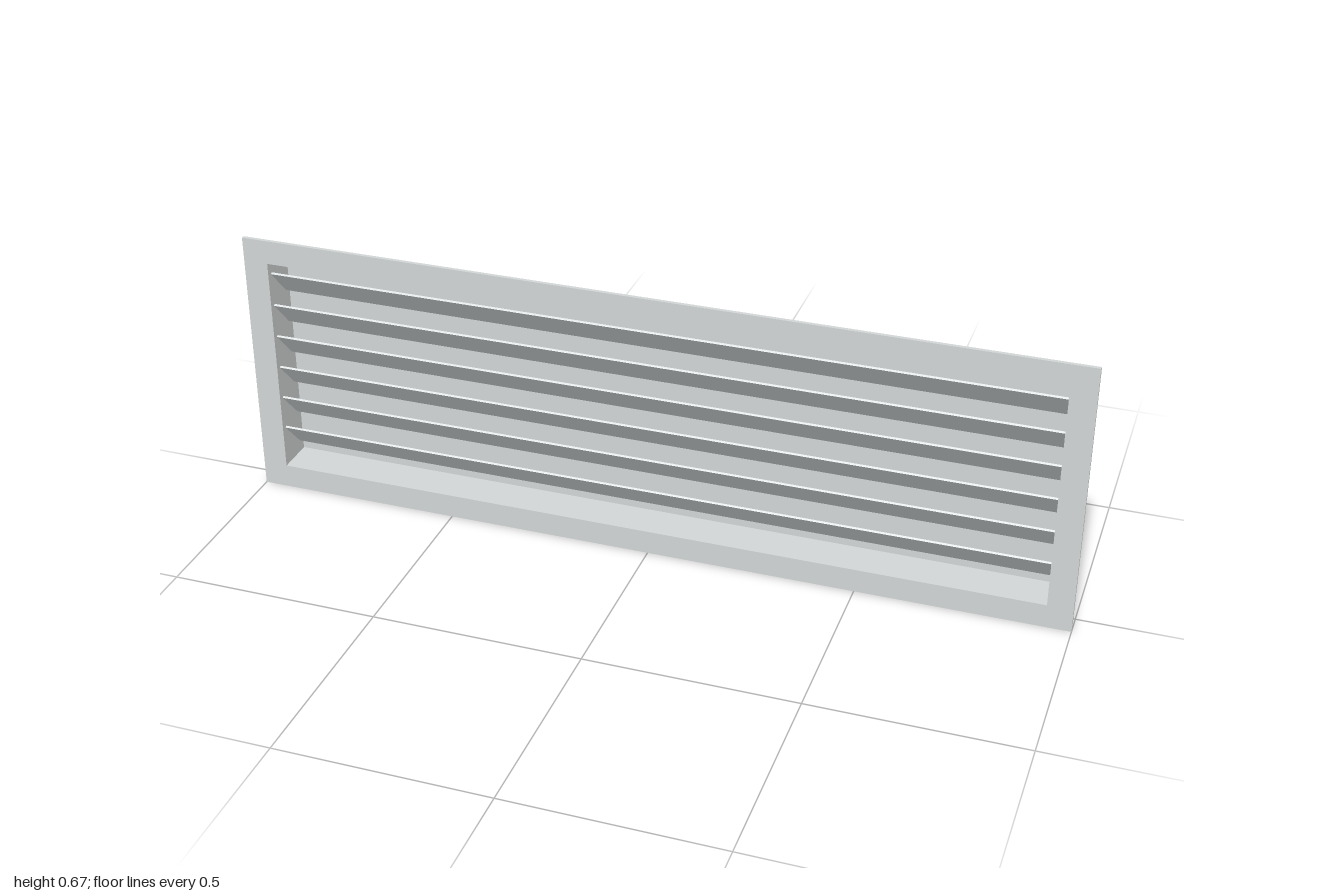
import * as THREE from 'three';

export function createModel() {
  const group = new THREE.Group();
  const metalMat = new THREE.MeshStandardMaterial({ color: 0xd1d5d5 });
  metalMat.name = 'light grey metal';
  const panelMat = new THREE.MeshStandardMaterial({ color: 0x333333 });
  panelMat.name = 'dark backing';

  const H = 0.667, midY = H / 2;
  const innerW = 1.88, innerH = 0.55;     // clear opening
  const outerW = 1.888, outerH = 0.556;   // duct outside

  const add = (name, geometry, material, x, y, z) => {
    const mesh = new THREE.Mesh(geometry, material);
    mesh.name = name;
    mesh.position.set(x, y, z);
    group.add(mesh);
    return mesh;
  };

  // Rectangular ring extruded along z
  const ring = (w, h, holeW, holeH, depth) => {
    const rect = (Type, a, b) => new Type([
      new THREE.Vector2(-a / 2, -b / 2), new THREE.Vector2(a / 2, -b / 2),
      new THREE.Vector2(a / 2, b / 2), new THREE.Vector2(-a / 2, b / 2),
    ]);
    const shape = rect(THREE.Shape, w, h);
    shape.holes.push(rect(THREE.Path, holeW, holeH));
    return new THREE.ExtrudeGeometry(shape, { depth, bevelEnabled: false });
  };

  // Front flange and the shallow duct behind it
  add('frontFlange', ring(2, H, innerW, innerH, 0.009), metalMat, 0, midY, 0.043);
  add('ductWalls', ring(outerW, outerH, innerW, innerH, 0.088), metalMat, 0, midY, -0.045);
  add('ductBack', new THREE.BoxGeometry(innerW, innerH, 0.002), metalMat, 0, midY, -0.044);

  // Thin dark sheet just behind the duct
  add('backPanel', new THREE.BoxGeometry(outerW - 0.004, 0.548, 0.003), panelMat, 0, midY, -0.0495);

  // Six slats, front edge high and back edge low
  const slats = 6, pitch = 0.0833;
  for (let i = 0; i < slats; i++) {
    const y = midY + (i - (slats - 1) / 2) * pitch;
    const slat = add('slat' + (i + 1), new THREE.BoxGeometry(innerW, 0.005, 0.096), metalMat, 0, y, 0.005);
    slat.rotation.x = -THREE.MathUtils.degToRad(48);
  }
  return group;
}
